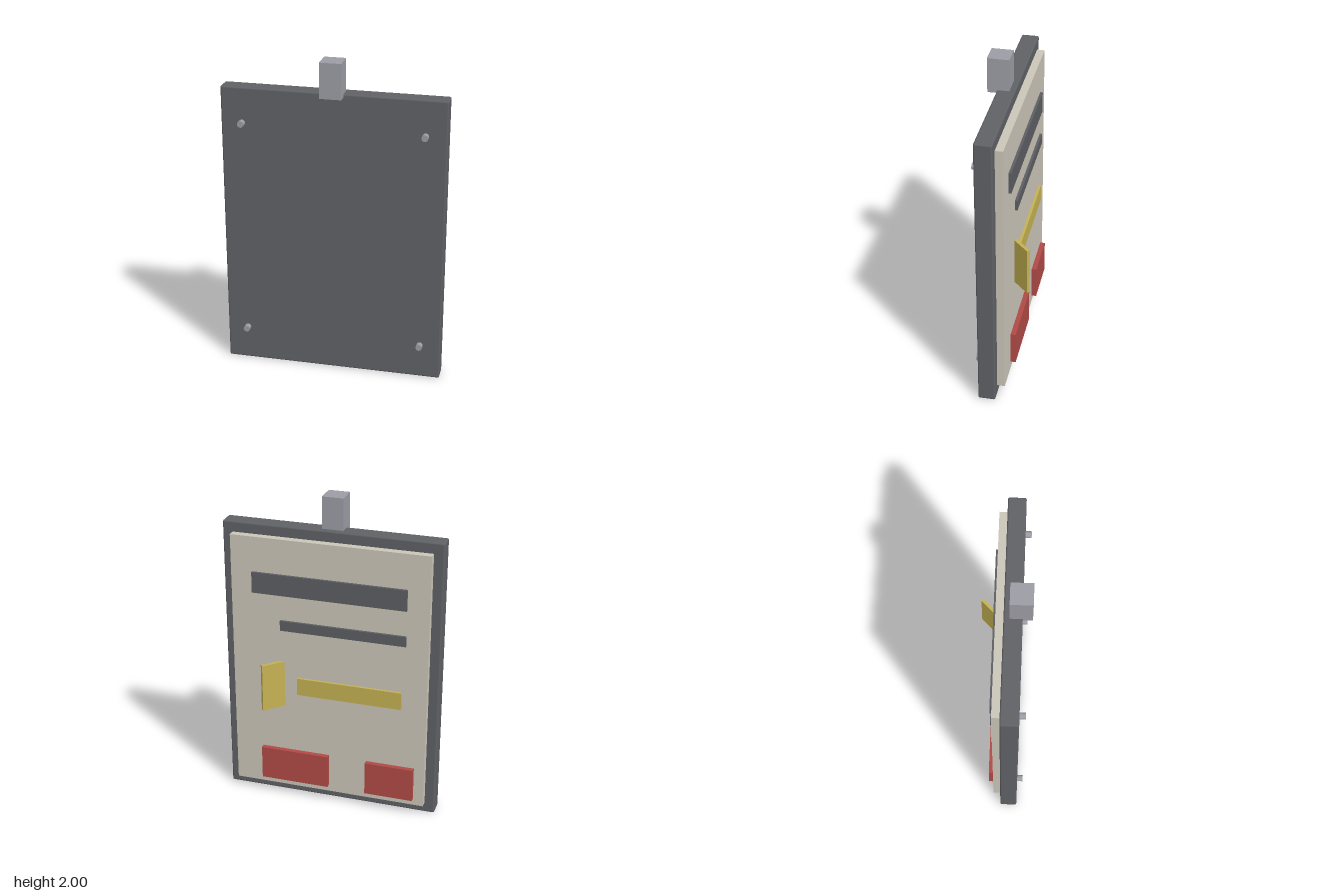
import * as THREE from 'three';
import { RoundedBoxGeometry } from 'three/addons/geometries/RoundedBoxGeometry.js';

const mat = (color) => new THREE.MeshStandardMaterial({ color });

export function createModel() {
  const group = new THREE.Group();
  const boardMat = mat(0x606166), metalMat = mat(0x9c9da4), paperMat = mat(0xcac5b8);
  const inkMat = mat(0x5c5e63), yellowMat = mat(0xc4b152), redMat = mat(0xb04a46);

  const add = (name, geometry, material, x, y, z) => {
    const mesh = new THREE.Mesh(geometry, material);
    mesh.name = name;
    mesh.position.set(x, y, z);
    group.add(mesh);
    return mesh;
  };
  // Box given by its limits on each axis
  const slab = (name, material, [x0, x1], [y0, y1], [z0, z1]) =>
    add(name, new THREE.BoxGeometry(x1 - x0, y1 - y0, z1 - z0), material,
      (x0 + x1) / 2, (y0 + y1) / 2, (z0 + z1) / 2);

  // Backing board with slightly softened edges
  add('board', new RoundedBoxGeometry(1.355, 1.8, 0.106, 2, 0.01), boardMat, 0, 0.9 + 0.003, 0.048);

  // Sheet on the back and the clip on top
  slab('sheet', paperMat, [-0.615, 0.615], [0.07, 1.737], [-0.052, 0]);
  slab('clip', metalMat, [-0.065, 0.065], [1.785, 2], [0.028, 0.157]);

  // Pins at the four corners of the front
  for (const x of [-0.55, 0.55]) {
    for (const y of [0.222, 1.585]) {
      const pin = add('pin', new THREE.CylinderGeometry(0.02, 0.02, 0.05, 16), metalMat, x, y, 0.112);
      pin.rotation.x = Math.PI / 2;
    }
  }

  // Raised strips and blocks on the sheet
  slab('headingStrip', inkMat, [-0.48, 0.48], [1.385, 1.517], [-0.068, -0.045]);
  slab('subheadingStrip', inkMat, [-0.48, 0.305], [1.157, 1.221], [-0.068, -0.045]);
  slab('yellowBar', yellowMat, [-0.46, 0.2], [0.735, 0.847], [-0.068, -0.045]);
  slab('redBlockLarge', redMat, [0, 0.436], [0.115, 0.332], [-0.083, -0.045]);
  slab('redBlockSmall', redMat, [-0.55, -0.243], [0.115, 0.332], [-0.083, -0.045]);

  // Tab standing out at 45 degrees
  const tab = add('yellowTab', new THREE.BoxGeometry(0.165, 0.305, 0.02), yellowMat, 0.34, 0.793, -0.094);
  tab.rotation.y = Math.PI / 4;

  return group;
}
